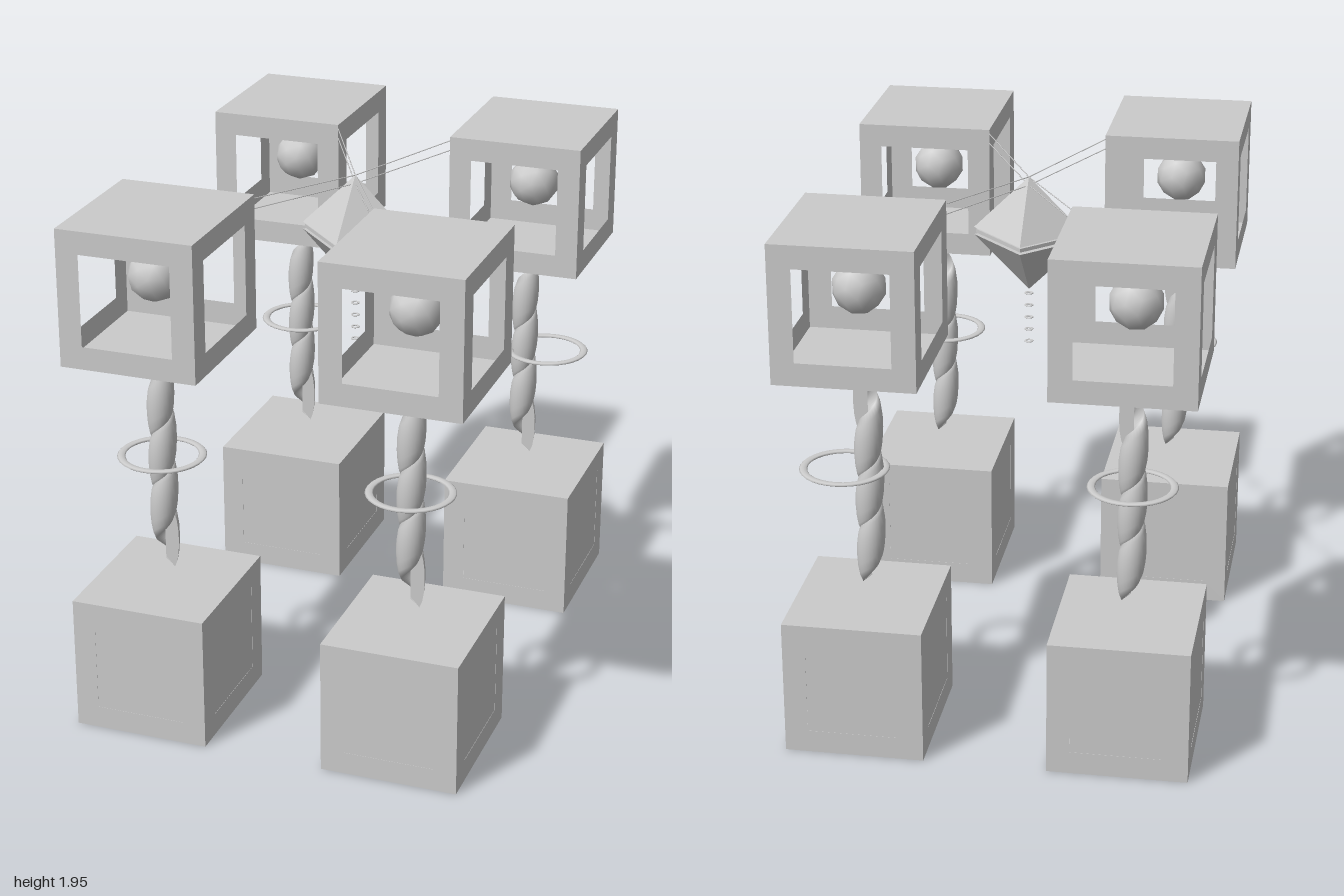
import * as THREE from 'three';

const grey = new THREE.MeshStandardMaterial({ color: 0xcccccc });
const flat = new THREE.MeshStandardMaterial({ color: 0xcccccc, flatShading: true });
const twoSided = new THREE.MeshStandardMaterial({ color: 0xcccccc, side: THREE.DoubleSide });

const W = 0.51, H = 0.51, D = 0.565; // block width, height and depth
const OPEN = 2 / 3;                  // window size as a share of the wall

function add(parent, name, geometry, material, x = 0, y = 0, z = 0) {
  const mesh = new THREE.Mesh(geometry, material);
  mesh.name = name;
  mesh.position.set(x, y, z);
  parent.add(mesh);
  return mesh;
}

// Centred rectangle as a list of corners
function rectangle(w, h) {
  return [[-1, -1], [1, -1], [1, 1], [-1, 1]].map(([x, y]) => new THREE.Vector2(x * w / 2, y * h / 2));
}

// Thin-walled block with a window in each side; the windows may hold flush panels
function block(name, panels) {
  const g = new THREE.Group();
  g.name = name;
  for (let i = 0; i < 4; i++) {
    const [w, out] = i % 2 ? [D, W / 2] : [W, D / 2];
    const side = new THREE.Group();
    side.name = 'side';
    side.rotation.y = i * Math.PI / 2;
    const wall = new THREE.Shape(rectangle(w, H));
    wall.holes.push(new THREE.Path(rectangle(w * OPEN, H * OPEN)));
    add(side, 'windowWall', new THREE.ShapeGeometry(wall), twoSided, 0, 0, out);
    if (panels) add(side, 'panel', new THREE.PlaneGeometry(w * OPEN, H * OPEN), twoSided, 0, 0, out - 0.001);
    g.add(side);
  }
  for (const s of [-1, 1]) {
    add(g, s > 0 ? 'roof' : 'floor', new THREE.PlaneGeometry(W, D), twoSided, 0, s * H / 2, 0)
      .rotation.x = -s * Math.PI / 2;
  }
  return g;
}

// Screw-swept column: a rounded profile climbs round the axis and ends in upright cuts
function screwGeometry() {
  const profile = [[0, 0.03], [0.034, 0], [0.044, 0.025], [0.05, 0.06], [0.053, 0.105],
    [0.052, 0.15], [0.046, 0.195], [0.034, 0.23], [0, 0.2]];
  const turns = 3, pitch = 0.2, steps = 72, n = profile.length;
  const pos = [], idx = [];
  for (let i = 0; i <= steps; i++) {
    const t = (i / steps) * turns, a = t * Math.PI * 2;
    for (const [r, h] of profile) pos.push(r * Math.cos(a), 0.56 + t * pitch + h, -r * Math.sin(a));
  }
  for (let i = 0; i < steps; i++) for (let j = 0; j < n - 1; j++) {
    const a = i * n + j, b = a + n;
    idx.push(a, b, a + 1, b, b + 1, a + 1);
  }
  // End caps on their own vertices, so that the cuts stay crisp
  for (const [row, flip] of [[0, false], [steps, true]]) {
    const start = pos.length / 3;
    for (let k = 0; k < n * 3; k++) pos.push(pos[row * n * 3 + k]);
    for (let j = 1; j < n - 1; j++) {
      if (flip) idx.push(start, start + j + 1, start + j);
      else idx.push(start, start + j, start + j + 1);
    }
  }
  const geo = new THREE.BufferGeometry();
  geo.setAttribute('position', new THREE.Float32BufferAttribute(pos, 3));
  geo.setIndex(idx);
  geo.computeVertexNormals();
  return geo;
}

// Flattened horizontal ring
function ringGeometry(radius, tube, squash, sides = 32) {
  return new THREE.TorusGeometry(radius, tube, 8, sides).rotateX(Math.PI / 2).scale(1, squash, 1);
}

function cable(parent, from, to) {
  const path = new THREE.LineCurve3(from, to);
  add(parent, 'cable', new THREE.TubeGeometry(path, 1, 0.002, 6), grey);
}

export function createModel() {
  const model = new THREE.Group();
  model.name = 'floatingBlocks';
  const screw = screwGeometry();
  const ring = ringGeometry(0.148, 0.015, 0.4);
  const ball = new THREE.IcosahedronGeometry(0.098, 1);

  // Four towers
  for (const sx of [-1, 1]) for (const sz of [-1, 1]) {
    const tower = new THREE.Group();
    tower.name = 'tower';
    const x = sx * 0.48, z = sz * 0.7175;
    const columnX = sx < 0 ? -0.487 : 0.463;
    const ringX = sx > 0 && sz < 0 ? 0.553 : columnX;
    const base = block('baseBlock', true), top = block('cage', false);
    base.position.set(x, H / 2, z);
    top.position.set(x, 1.69, z);
    tower.add(base, top);
    add(tower, 'twistedColumn', screw, twoSided, columnX, 0, sz * 0.711);
    add(tower, 'floatingRing', ring, grey, ringX, 1.013, sz * 0.717);
    add(tower, 'orb', ball, grey, sx < 0 ? -0.49 : 0.48, 1.71, sz * 0.722).rotation.set(0.4, 0.3, 0.2);
    model.add(tower);
    // Pair of cables to the crystal
    for (const [y0, y1] of [[1.905, 1.93], [1.873, 1.892]]) {
      cable(model, new THREE.Vector3(0, y0, 0), new THREE.Vector3(sx * 0.225, y1, sz * 0.435));
    }
  }

  // Split crystal with a thin core
  const crystal = new THREE.Group();
  crystal.name = 'crystal';
  const pyramid = new THREE.ConeGeometry(0.207, 0.205, 4);
  add(crystal, 'upperHalf', pyramid, flat, 0, 1.803, 0);
  add(crystal, 'lowerHalf', pyramid, flat, 0, 1.57, 0).rotation.x = Math.PI;
  add(crystal, 'core', new THREE.CylinderGeometry(0.2, 0.2, 0.014, 4), flat, 0, 1.6865, 0);
  model.add(crystal);

  // Chain of small rings below the crystal
  for (let i = 0; i < 5; i++) {
    add(model, 'dropRing', ringGeometry(0.013, 0.004, 0.6, 16), grey, 0, 1.452 - i * 0.048, 0);
  }
  return model;
}
